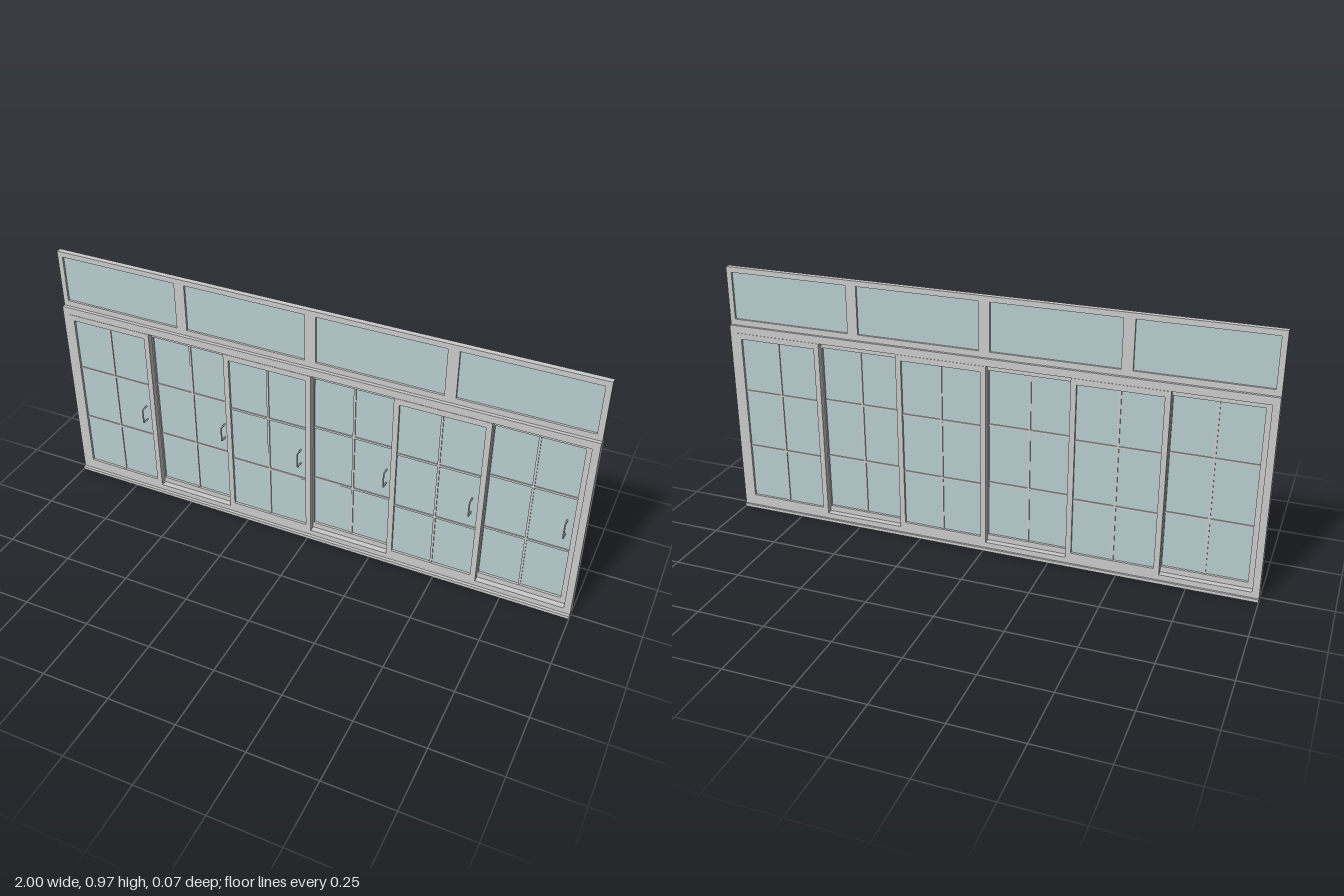
import * as THREE from 'three';

const frameMat = new THREE.MeshStandardMaterial({ color: 0xcccccc });
const glassMat = new THREE.MeshStandardMaterial({ color: 0xb8cdcf });

// Box given by its min and max corners
function box(name, x0, x1, y0, y1, z0, z1, mat = frameMat) {
  const mesh = new THREE.Mesh(new THREE.BoxGeometry(x1 - x0, y1 - y0, z1 - z0), mat);
  mesh.position.set((x0 + x1) / 2, (y0 + y1) / 2, (z0 + z1) / 2);
  mesh.name = name;
  return mesh;
}

// Rectangular frame with an opening per [x0, x1, y0, y1] entry
function frame(name, [x0, x1, y0, y1], openings, z0, z1) {
  const rect = (T, a, b, c, d) => {
    const p = new T();
    p.moveTo(a, c);
    p.lineTo(b, c);
    p.lineTo(b, d);
    p.lineTo(a, d);
    p.closePath();
    return p;
  };
  const shape = rect(THREE.Shape, x0, x1, y0, y1);
  openings.forEach(o => shape.holes.push(rect(THREE.Path, ...o)));
  const geo = new THREE.ExtrudeGeometry(shape, { depth: z1 - z0, bevelEnabled: false });
  geo.translate(0, 0, z0);
  const mesh = new THREE.Mesh(geo, frameMat);
  mesh.name = name;
  return mesh;
}

// Pull handle: a rounded bracket standing off the glass
function handle(x, zGlass, zOut) {
  const path = new THREE.CurvePath();
  const v = (y, z) => new THREE.Vector3(x, y, z);
  const lo = 0.333, hi = 0.392, r = 0.005;
  path.add(new THREE.LineCurve3(v(lo, zGlass), v(lo, zOut - r)));
  path.add(new THREE.QuadraticBezierCurve3(v(lo, zOut - r), v(lo, zOut), v(lo + r, zOut)));
  path.add(new THREE.LineCurve3(v(lo + r, zOut), v(hi - r, zOut)));
  path.add(new THREE.QuadraticBezierCurve3(v(hi - r, zOut), v(hi, zOut), v(hi, zOut - r)));
  path.add(new THREE.LineCurve3(v(hi, zOut - r), v(hi, zGlass)));
  const mesh = new THREE.Mesh(new THREE.TubeGeometry(path, 60, 0.0028, 8), frameMat);
  mesh.name = 'handle';
  return mesh;
}

// Sliding panel: sash, glass, glazing bars and handle
function slidingPanel(cx, z0, z1) {
  const g = new THREE.Group();
  g.name = 'slidingPanel';
  const zc = (z0 + z1) / 2, w = 0.17, gw = 0.15, yb = 0.055, yt = 0.70;
  g.add(frame('sash', [cx - w, cx + w, 0.033, 0.722], [[cx - gw, cx + gw, yb, yt]], z0, z1));
  g.add(box('glass', cx - gw, cx + gw, yb, yt, zc - 0.002, zc + 0.002, glassMat));
  g.add(box('verticalBar', cx - 0.004, cx + 0.004, yb, yt, zc - 0.006, zc + 0.006));
  for (const y of [0.265, 0.492])
    g.add(box('horizontalBar', cx - gw, cx + gw, y - 0.004, y + 0.004, zc - 0.006, zc + 0.006));
  g.add(handle(cx + 0.127, zc, z1 + 0.02));
  return g;
}

export function createModel() {
  const model = new THREE.Group();
  model.name = 'slidingDoorWall';

  // Threshold and main frame
  model.add(box('threshold', -1, 1, 0, 0.012, -0.037, 0.025));
  model.add(frame('mainFrame', [-1, 1, 0.012, 0.75], [[-0.975, 0.975, 0.033, 0.722]], -0.03, 0.013));

  // Six panels alternating between front and back tracks
  for (let i = 0; i < 6; i++) {
    const cx = (i - 2.5) * 0.322;
    model.add(i % 2 ? slidingPanel(cx, -0.0315, -0.0095) : slidingPanel(cx, -0.0075, 0.0145));
  }

  // Transom with four fixed lights
  const lights = [0, 1, 2, 3].map(i => [-0.98 + i * 0.5, -0.52 + i * 0.5, 0.772, 0.95]);
  const transom = new THREE.Group();
  transom.name = 'transom';
  transom.add(frame('transomFrame', [-1, 1, 0.75, 0.97], lights, -0.02, 0));
  lights.forEach(l => transom.add(box('transomGlass', ...l, -0.012, -0.008, glassMat)));
  model.add(transom);

  return model;
}
